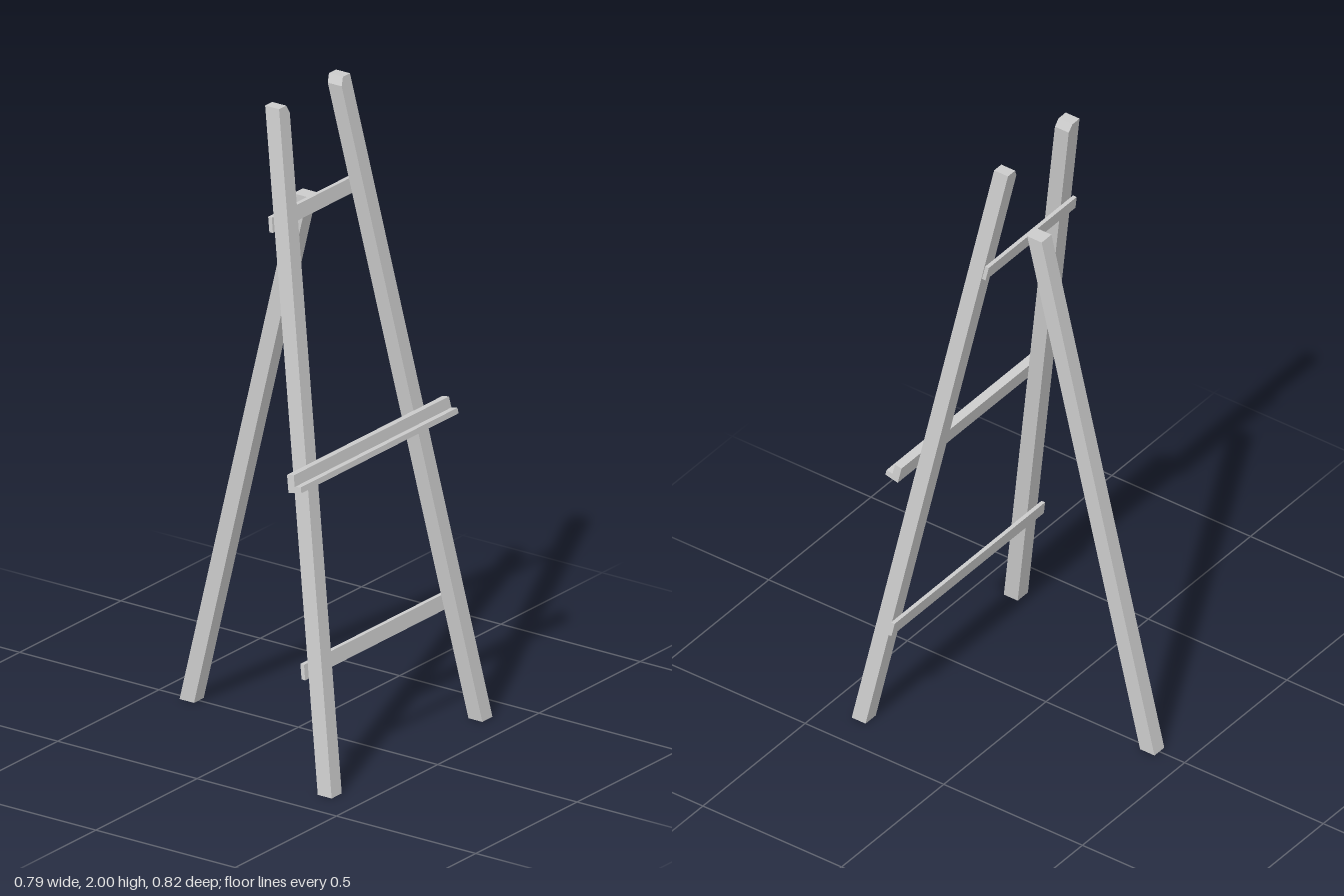
import * as THREE from 'three';

const material = new THREE.MeshStandardMaterial({ color: 0xcccccc, flatShading: true });
const LEAN = 0.175;  // backward lean of the front frame, dz per unit y
const SPLAY = 0.111; // sideways splay of the front legs, dx per unit y

// Extrudes an outline and moves every vertex by a rule
function prism(name, points, depth, rule) {
  const shape = new THREE.Shape(points.map(([a, b]) => new THREE.Vector2(a, b)));
  const geo = new THREE.ExtrudeGeometry(shape, { depth, bevelEnabled: false });
  const pos = geo.attributes.position;
  for (let i = 0; i < pos.count; i++) {
    pos.setXYZ(i, ...rule(pos.getX(i), pos.getY(i), pos.getZ(i)));
  }
  geo.computeVertexNormals();
  const mesh = new THREE.Mesh(geo, material);
  mesh.name = name;
  return mesh;
}

// Bar across x from a (z, y) section; its ends may follow the leg splay
function crossBar(name, section, halfWidth) {
  return prism(name, section, 2, (z, y, d) => [(1 - d) * halfWidth(y), y, z]);
}

// Section of a thin rail fixed behind the leaning legs
function railSection(y0, y1) {
  const front = (y) => 0.354 - LEAN * y;
  const t = 0.013;
  return [[front(y0) - t, y0], [front(y0), y0], [front(y1), y1], [front(y1) - t, y1]];
}

export function createModel() {
  const easel = new THREE.Group();
  easel.name = 'easel';

  // Two front legs, with the inner top corner trimmed
  const leg = [[0.347, 0], [0.397, 0], [0.175, 2], [0.14, 2], [0.128, 1.975]];
  for (const [name, s] of [['leftFrontLeg', 1], ['rightFrontLeg', -1]]) {
    easel.add(prism(name, leg.map(([x, y]) => [s * x, y]), 0.05,
      (x, y, z) => [x, y, z + 0.358 - LEAN * y]));
  }

  // Rear prop leg
  easel.add(crossBar('backLeg',
    [[-0.409, 0], [-0.357, 0], [0.05, 1.675], [-0.002, 1.675]], () => 0.024));

  // Upper and lower rails
  easel.add(crossBar('upperRail', railSection(1.63, 1.675), (y) => 0.401 - SPLAY * y));
  easel.add(crossBar('lowerRail', railSection(0.335, 0.38), (y) => 0.41 - SPLAY * y));

  // L-shaped canvas tray on the front of the legs
  easel.add(crossBar('tray', [
    [0.2475, 0.915], [0.293, 0.924], [0.29, 0.941],
    [0.268, 0.937], [0.262, 0.971], [0.238, 0.967],
  ], (y) => 0.491 - SPLAY * y));

  return easel;
}
